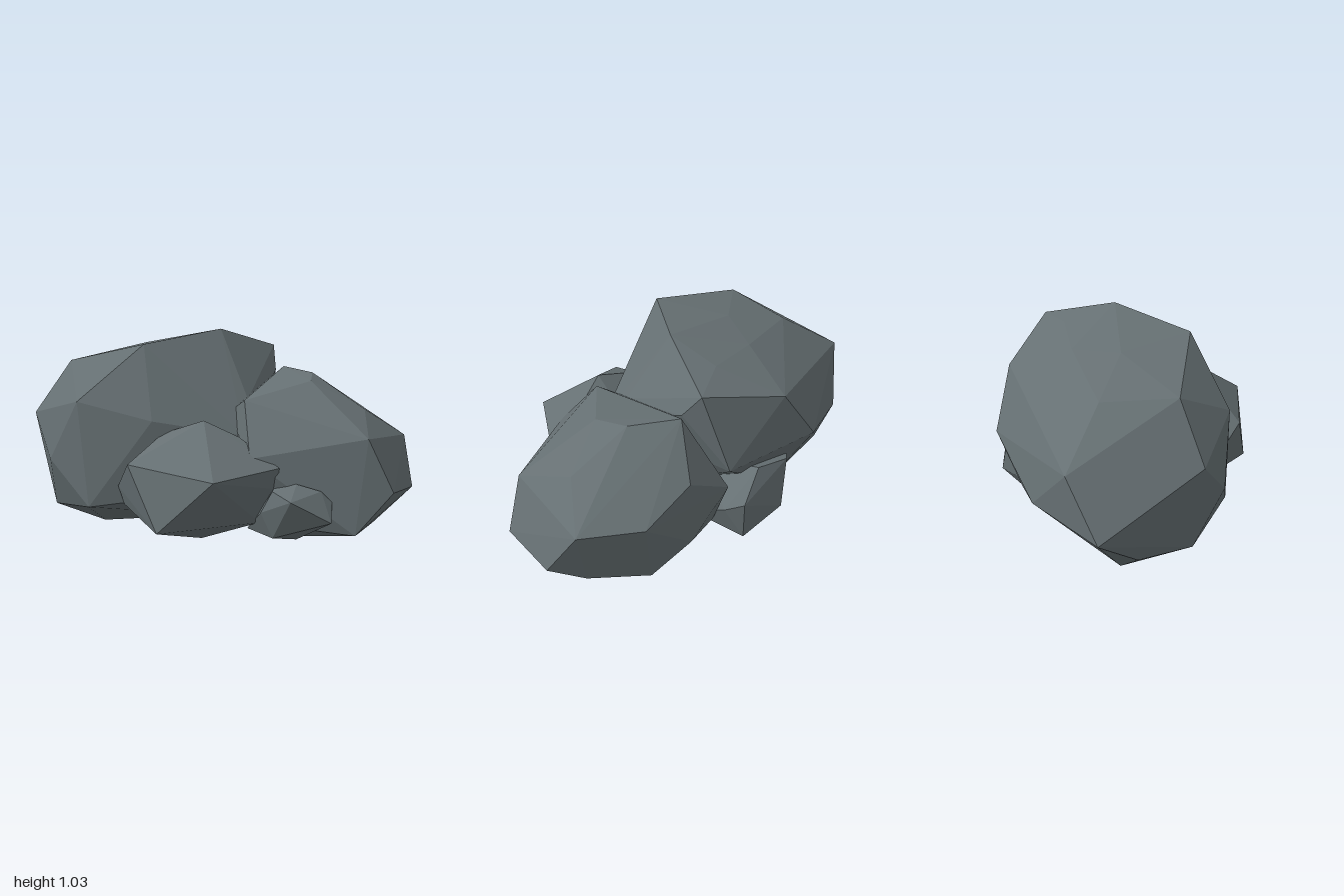
import * as THREE from 'three';
import { ConvexGeometry } from 'three/addons/geometries/ConvexGeometry.js';

// Each boulder is the convex hull of a handful of corner points [x, y, z].
const boulders = {
  largeBoulder: [
    [-1, 0.41, -0.14], [-0.86, 0.66, -0.27], [-0.86, 0.48, 0.06], [-0.75, 0.62, 0.31],
    [-0.6, 0.875, 0.21], [-0.14, 0.98, 0.29], [0.09, 1.035, -0.05], [0.225, 0.935, -0.387],
    [-0.6, 0.86, -0.13], [-0.31, 0.955, -0.03], [-0.22, 0.935, -0.25], [0.04, 0.96, -0.29],
    [-0.15, 0.83, -0.54], [-0.31, 0.57, -0.6], [-0.7, 0.43, -0.42], [-0.48, 0.38, -0.48],
    [-0.335, 0.115, -0.35], [0.15, 0.54, -0.5], [-0.58, 0, -0.04], [-0.82, 0.21, 0.03],
    [-0.66, 0.16, 0.28], [-0.59, 0.42, 0.42], [-0.35, 0.22, 0.46], [-0.41, 0.715, 0.45],
    [-0.05, 0.64, 0.38], [0.28, 0.72, 0.05], [0.27, 0.82, -0.31], [0.32, 0.57, 0.17],
    [0.15, 0.3, 0.25], [0.06, 0.12, 0],
  ],
  mediumBoulder: [
    [0.3, 0.835, -0.34], [0.5, 0.83, -0.21], [0.55, 0.81, -0.06], [0.33, 0.74, 0.2],
    [0.43, 0.51, 0.36], [0.63, 0.645, 0.14], [0.88, 0.59, 0.09], [0.78, 0.68, -0.16],
    [0.92, 0.54, -0.35], [1, 0.32, -0.23], [0.99, 0.35, 0.05], [0.86, 0.165, -0.08],
    [0.86, 0.17, 0.18], [0.85, 0.22, -0.31], [0.41, 0.63, -0.51], [0.67, 0.53, -0.51],
    [0.4, 0.28, -0.51], [0.6, 0.17, -0.46], [0.5, 0.12, -0.35], [0.62, 0.07, -0.21],
    [0.37, 0.03, -0.09], [0.4, 0.12, 0.03], [0.45, 0.16, 0.12], [0.45, 0.2, 0.28],
    [0.18, 0.48, -0.52], [0.2, 0.25, -0.45], [0.2, 0.14, -0.25], [0.18, 0.65, 0.05],
    [0.2, 0.4, 0],
  ],
  frontBoulder: [
    [0.37, 0.445, 0.6], [0.1, 0.19, 0.61], [-0.08, 0.47, 0.55], [0.2, 0.66, 0.35],
    [0.14, 0.08, 0.25], [-0.21, 0.33, 0.42], [-0.19, 0.24, 0.4], [0.55, 0.47, 0.31],
    [0.53, 0.37, 0.29], [-0.02, 0.58, 0.33], [0.35, 0.59, 0.3], [0.44, 0.2, 0.27],
    [0.2, 0.4, 0],
  ],
  smallFrontStone: [
    [0.53, 0.37, 0.34], [0.62, 0.4, 0.28], [0.48, 0.27, 0.35], [0.63, 0.34, 0.375],
    [0.53, 0.155, 0.33], [0.78, 0.24, 0.27], [0.76, 0.32, 0.21], [0.36, 0.15, 0.22],
    [0.6, 0.13, 0.22], [0.5, 0.39, 0.2], [0.72, 0.37, 0.24], [0.6, 0.25, 0.05],
  ],
  smallBackStone: [
    [0.14, 0.385, -0.59], [0.14, 0.19, -0.59], [-0.1, 0.245, -0.61], [0, 0.5, -0.54],
    [-0.17, 0.47, -0.565], [-0.16, 0.15, -0.48], [-0.31, 0.28, -0.45], [-0.28, 0.4, -0.47],
    [0.2, 0.35, -0.52], [0.2, 0.2, -0.3], [0, 0.35, -0.2],
  ],
};

export function createModel() {
  const group = new THREE.Group();
  group.name = 'boulderCluster';
  const stone = new THREE.MeshStandardMaterial({ color: 0x667073 });
  stone.name = 'slate grey';

  for (const [name, corners] of Object.entries(boulders)) {
    // Hull faces carry their own normals, so every facet stays flat.
    const geometry = new ConvexGeometry(corners.map((p) => new THREE.Vector3(...p)));
    const mesh = new THREE.Mesh(geometry, stone);
    mesh.name = name;
    group.add(mesh);
  }
  return group;
}
